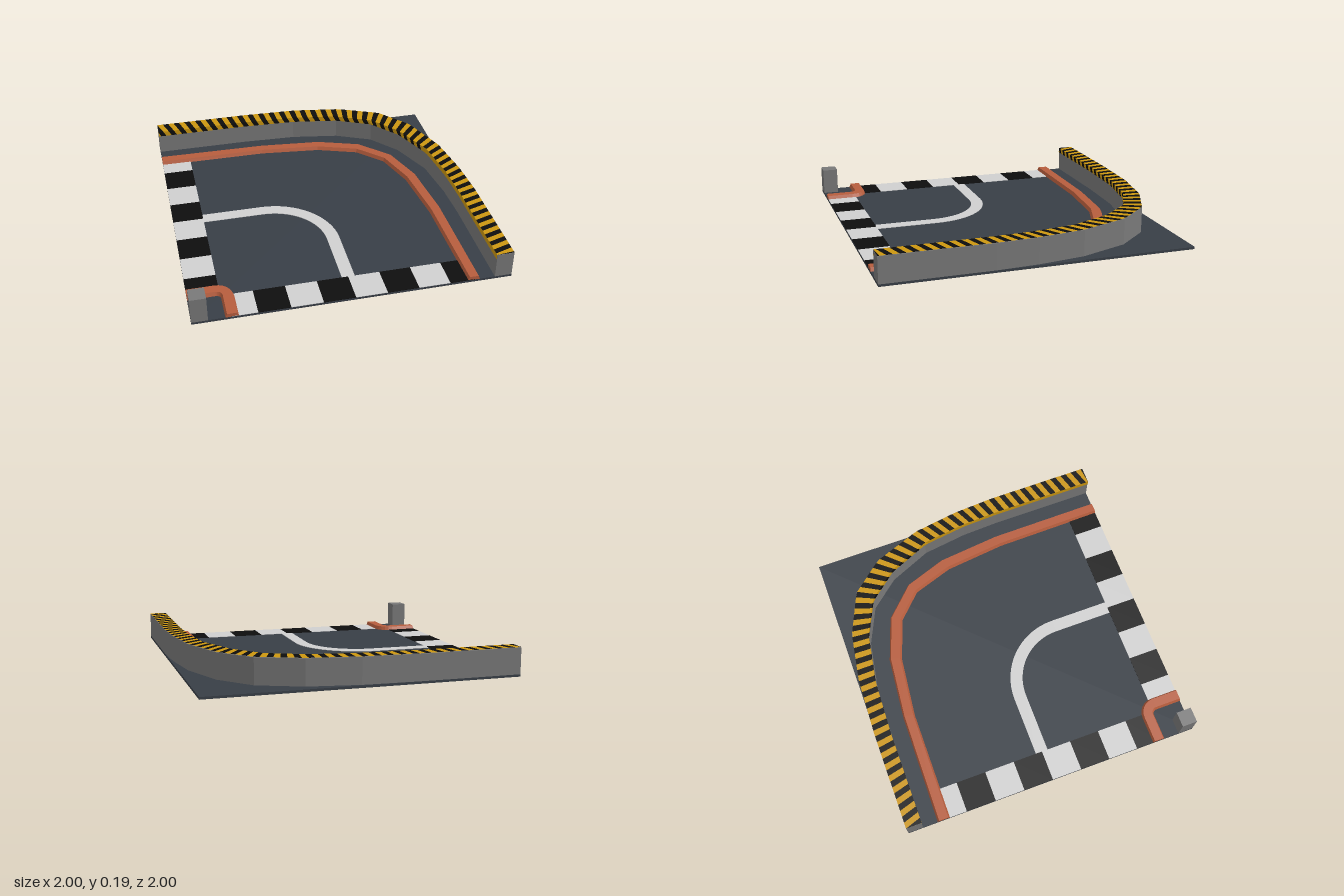
import * as THREE from 'three';

const paint = (name, color, extra = {}) => new THREE.MeshStandardMaterial({ name, color, ...extra });
const FLOOR = 0.015, TOP = 0.185;

// triangles from a list of quads (each four corners, counter-clockwise)
function quadGeometry(quads) {
  const pos = [];
  for (const [a, b, c, d] of quads) pos.push(...a, ...b, ...c, ...a, ...c, ...d);
  const g = new THREE.BufferGeometry();
  g.setAttribute('position', new THREE.Float32BufferAttribute(pos, 3));
  g.computeVertexNormals();
  return g;
}

// point across a pair of rails: t = 0 on the outer rail, 1 on the inner
const across = (o, i, t, y) => [o[0] + (i[0] - o[0]) * t, y, o[1] + (i[1] - o[1]) * t];

// solid swept between two rails; profile is four [t, y] corners
function sweep(outer, inner, profile) {
  const rings = outer.map((o, k) => profile.map(([t, y]) => across(o, inner[k], t, y)));
  const quads = [];
  for (let s = 0; s < rings.length - 1; s++) {
    for (let k = 0; k < 4; k++) {
      const n = (k + 1) % 4;
      quads.push([rings[s][k], rings[s][n], rings[s + 1][n], rings[s + 1][k]]);
    }
  }
  quads.push([...rings[0]].reverse(), rings[rings.length - 1]);
  return quadGeometry(quads);
}

// straight, quarter turn, straight
function elbow(startX, cx, cz, r, endZ, steps) {
  const pts = [[startX, cz - r]];
  for (let k = 0; k <= steps; k++) {
    const a = (k / steps) * Math.PI / 2;
    pts.push([cx + r * Math.sin(a), cz - r * Math.cos(a)]);
  }
  pts.push([cx + r, endZ]);
  return pts;
}

const box = (y0, y1) => [[0, y0], [0, y1], [1, y1], [1, y0]];

export function createModel() {
  const asphalt = paint('asphalt', 0x383e46);
  const concrete = paint('concrete', 0x787878);
  const white = paint('white paint', 0xcfcfcf);
  const black = paint('black paint', 0x0d0d0d);
  const orange = paint('orange curb', 0xb65d3d);
  const yellow = paint('yellow paint', 0xcb9610);

  const model = new THREE.Group();
  model.name = 'trackCorner';
  const add = (name, geometry, material) => {
    const m = new THREE.Mesh(geometry, material);
    m.name = name;
    model.add(m);
    return m;
  };
  const slab = (name, x0, x1, y0, y1, z0, z1, material) =>
    add(name, new THREE.BoxGeometry(x1 - x0, y1 - y0, z1 - z0), material)
      .position.set((x0 + x1) / 2, (y0 + y1) / 2, (z0 + z1) / 2);

  // ground and inner corner post
  slab('ground', -1, 1, 0, FLOOR, -1, 1, asphalt);
  slab('cornerPost', -1, -0.9, FLOOR, TOP, 0.9, 1, concrete);

  // checkered bands at both ends of the track
  for (let k = 0; k < 8; k++) {
    const a = -0.8 + k * 0.2, b = a + 0.2;
    const lo = Math.max(a, -0.76), hi = Math.min(b, 0.76);
    const mat = k % 2 ? black : white;
    slab('sideChecker', -1, -0.8, FLOOR, 0.018, lo, hi, mat);
    slab('frontChecker', lo, hi, FLOOR, 0.018, 0.8, 1, mat);
  }

  // lane line
  add('laneLine', sweep(elbow(-0.8, -0.4, 0.4, 0.443, 0.8, 16),
    elbow(-0.8, -0.4, 0.4, 0.36, 0.8, 16), box(0.012, 0.018)), white);

  // curbs with sloping sides
  const curb = [[0, FLOOR], [0.13, 0.04], [0.87, 0.04], [1, FLOOR]];
  add('outerCurb', sweep(
    [[-1, -0.8], [-0.26, -0.788], [0.16, -0.747], [0.45, -0.647], [0.647, -0.45], [0.745, -0.17], [0.787, 0.25], [0.792, 1]],
    [[-1, -0.715], [-0.27, -0.71], [0.14, -0.665], [0.41, -0.57], [0.572, -0.41], [0.662, -0.14], [0.706, 0.27], [0.715, 1]],
    curb), orange);
  add('innerCurb', sweep(elbow(-1, -0.825, 0.825, 0.11, 1, 6),
    elbow(-1, -0.825, 0.825, 0.028, 1, 6), curb), orange);

  // barrier wall around the outside of the bend
  const outer = [[-1, -1], [-0.35, -1], [0.03, -0.985], [0.36, -0.93], [0.64, -0.81],
    [0.82, -0.6], [0.94, -0.28], [0.985, 0.03], [1, 0.3], [1, 1]];
  const inner = [[-1, -0.9], [-0.37, -0.9], [0, -0.885], [0.32, -0.83], [0.56, -0.72],
    [0.72, -0.53], [0.84, -0.25], [0.88, 0.05], [0.89, 0.3], [0.89, 1]];
  add('barrierWall', sweep(outer, inner, box(FLOOR, TOP - 0.002)), concrete);

  // distance along the wall, used to space the stripes
  const dist = [0];
  for (let k = 1; k < outer.length; k++) {
    const p = across(outer[k - 1], inner[k - 1], 0.5, 0), q = across(outer[k], inner[k], 0.5, 0);
    dist.push(dist[k - 1] + Math.hypot(q[0] - p[0], q[2] - p[2]));
  }
  const length = dist[dist.length - 1];
  const onWall = (s, t, y) => {
    s = Math.min(Math.max(s, 0), length);
    let k = 1;
    while (k < dist.length - 1 && s > dist[k]) k++;
    const f = (s - dist[k - 1]) / (dist[k] - dist[k - 1]);
    const mix = (r) => [0, 1].map((c) => r[k - 1][c] + (r[k][c] - r[k - 1][c]) * f);
    return across(mix(outer), mix(inner), t, y);
  };

  // slanted hazard stripes over the top and down the inner lip
  const stripes = [[], []];
  const pitch = 0.039;
  for (let k = -2; k * pitch < length; k++) {
    const s = k * pitch, e = s + pitch, c = Math.abs(k % 2);
    const lipColour = s > 2.1 ? 0 : c;
    stripes[c].push([onWall(s, 0, TOP + 0.001), onWall(s + 0.035, 1.03, TOP + 0.001),
      onWall(e + 0.035, 1.03, TOP + 0.001), onWall(e, 0, TOP + 0.001)]);
    stripes[lipColour].push([onWall(s + 0.035, 1.03, TOP + 0.001), onWall(s + 0.055, 1.03, 0.15),
      onWall(e + 0.055, 1.03, 0.15), onWall(e + 0.035, 1.03, TOP + 0.001)]);
  }
  yellow.side = black.side = THREE.DoubleSide;
  add('yellowStripes', quadGeometry(stripes[0]), yellow);
  add('blackStripes', quadGeometry(stripes[1]), black);

  return model;
}
